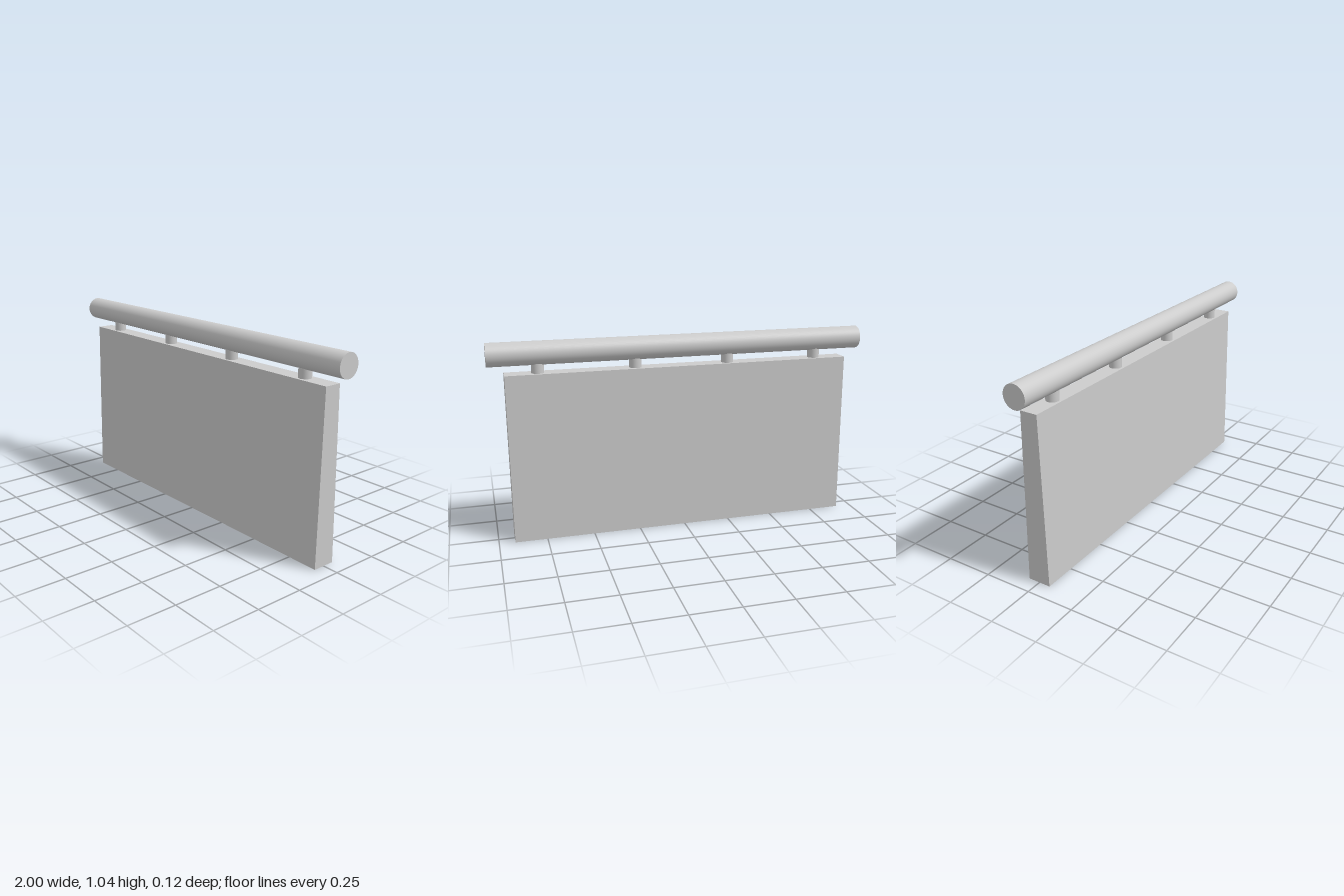
import * as THREE from 'three';

export function createModel() {
  const model = new THREE.Group();
  model.name = 'railedBarrier';
  const material = new THREE.MeshStandardMaterial({ color: 0xcccccc });

  const add = (name, geometry, x, y) => {
    const mesh = new THREE.Mesh(geometry, material);
    mesh.name = name;
    mesh.position.set(x, y, 0);
    model.add(mesh);
  };

  // Solid wall, tapering in thickness towards the top
  const length = 1.834, height = 0.882, bottom = 0.06, top = 0.045;
  const section = new THREE.Shape([
    new THREE.Vector2(-bottom, 0),
    new THREE.Vector2(bottom, 0),
    new THREE.Vector2(top, height),
    new THREE.Vector2(-top, height),
  ]);
  const wall = new THREE.ExtrudeGeometry(section, { depth: length, bevelEnabled: false });
  wall.translate(0, 0, -length / 2).rotateY(Math.PI / 2);
  add('wall', wall, 0, 0);

  // Round handrail along the full length
  const railY = 0.983;
  const rail = new THREE.CylinderGeometry(0.06, 0.06, 2, 48).rotateZ(Math.PI / 2);
  add('handrail', rail, 0, railY);

  // Short posts reaching from the wall into the rail
  const postHeight = railY - 0.03 - height;
  const post = new THREE.CylinderGeometry(0.032, 0.032, postHeight, 32);
  [-0.75, -0.25, 0.25, 0.75].forEach((x, i) => add(`post${i + 1}`, post, x, height + postHeight / 2));

  return model;
}
